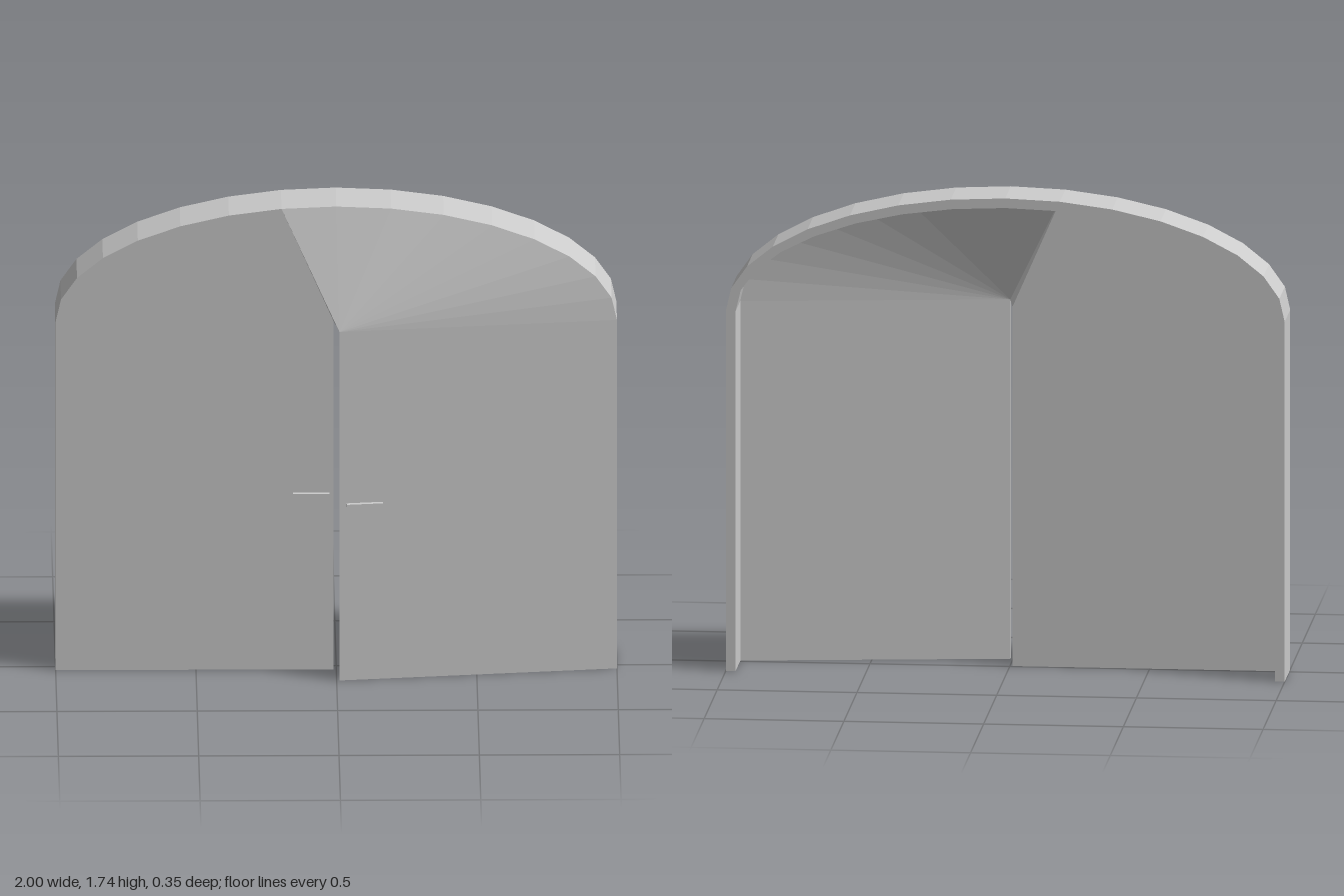
import * as THREE from 'three';

const FRONT = 0.04, SPRING = 1.31, RISE = 0.43, SEG = 16;
const material = new THREE.MeshStandardMaterial({ color: 0xcccccc, flatShading: true });

function add(group, name, geometry) {
  const mesh = new THREE.Mesh(geometry, material);
  mesh.name = name;
  group.add(mesh);
  return mesh;
}

// Points of the half-elliptical arch, from the +x springing to the -x one
function arch(rx, ry) {
  return Array.from({ length: SEG + 1 }, (_, i) => {
    const a = (i / SEG) * Math.PI;
    return [rx * Math.cos(a), SPRING + ry * Math.sin(a)];
  });
}

// Closed sheet: front outline (counter-clockwise) and its triangles, thickened towards -z
function slab(outline, faces, depth) {
  const n = outline.length, index = [];
  const points = [...outline, ...outline.map(([x, y, z]) => [x, y, z - depth])];
  for (const [a, b, c] of faces) index.push(a, b, c, n + a, n + c, n + b);
  for (let i = 0; i < n; i++) {
    const j = (i + 1) % n;
    index.push(i, n + i, n + j, i, n + j, j);
  }
  const indexed = new THREE.BufferGeometry();
  indexed.setAttribute('position', new THREE.Float32BufferAttribute(points.flat(), 3));
  indexed.setIndex(index);
  const geometry = indexed.toNonIndexed();
  geometry.computeVertexNormals();
  return geometry;
}

function leaf(x0, z0, x1, z1) {
  const outline = [[x0, 0, z0], [x1, 0, z1], [x1, SPRING, z1], [x0, SPRING, z0]];
  return slab(outline, [[0, 1, 2], [0, 2, 3]], 0.032);
}

export function createModel() {
  const group = new THREE.Group();
  const apexZ = 0.165, gap = 0.01, wall = 0.035;

  // Arched frame, open at the bottom and the back
  const toV = ([x, y]) => new THREE.Vector2(x, y);
  const inner = 1 - wall;
  const shape = new THREE.Shape([
    new THREE.Vector2(1, 0), ...arch(1, RISE).map(toV), new THREE.Vector2(-1, 0),
    new THREE.Vector2(-inner, 0), ...arch(inner, RISE - wall).reverse().map(toV), new THREE.Vector2(inner, 0),
  ]);
  const frame = add(group, 'archFrame',
    new THREE.ExtrudeGeometry(shape, { depth: 0.21, bevelEnabled: false }));
  frame.position.z = -0.172;

  // Closed leaf, and the leaf standing ajar towards the front
  add(group, 'closedLeaf', leaf(-1, FRONT, -gap, FRONT));
  add(group, 'ajarLeaf', leaf(gap, apexZ, 1, FRONT));

  // Panel above the leaves: flat on one side, fanned out to the ajar leaf's corner on the other
  const fold = 9, B = SEG + 1, A = SEG + 2;
  const outline = arch(1, RISE).map(([x, y]) => [x, y, FRONT]);
  outline.push([-gap, SPRING, FRONT], [gap, SPRING, apexZ]);
  const faces = [[A, fold, B]];
  for (let i = 0; i < SEG; i++) faces.push([i < fold ? A : B, i, i + 1]);
  add(group, 'archPanel', slab(outline, faces, 0.04));

  // Thin bar handles
  const bar = new THREE.BoxGeometry(0.13, 0.01, 0.022);
  const closedHandle = add(group, 'closedLeafHandle', bar);
  closedHandle.position.set(-0.09, 0.66, FRONT + 0.006);
  const ajarHandle = add(group, 'ajarLeafHandle', bar);
  ajarHandle.position.set(0.1, 0.66, 0.16);
  ajarHandle.rotation.y = Math.atan2(apexZ - FRONT, 1 - gap);

  return group;
}
